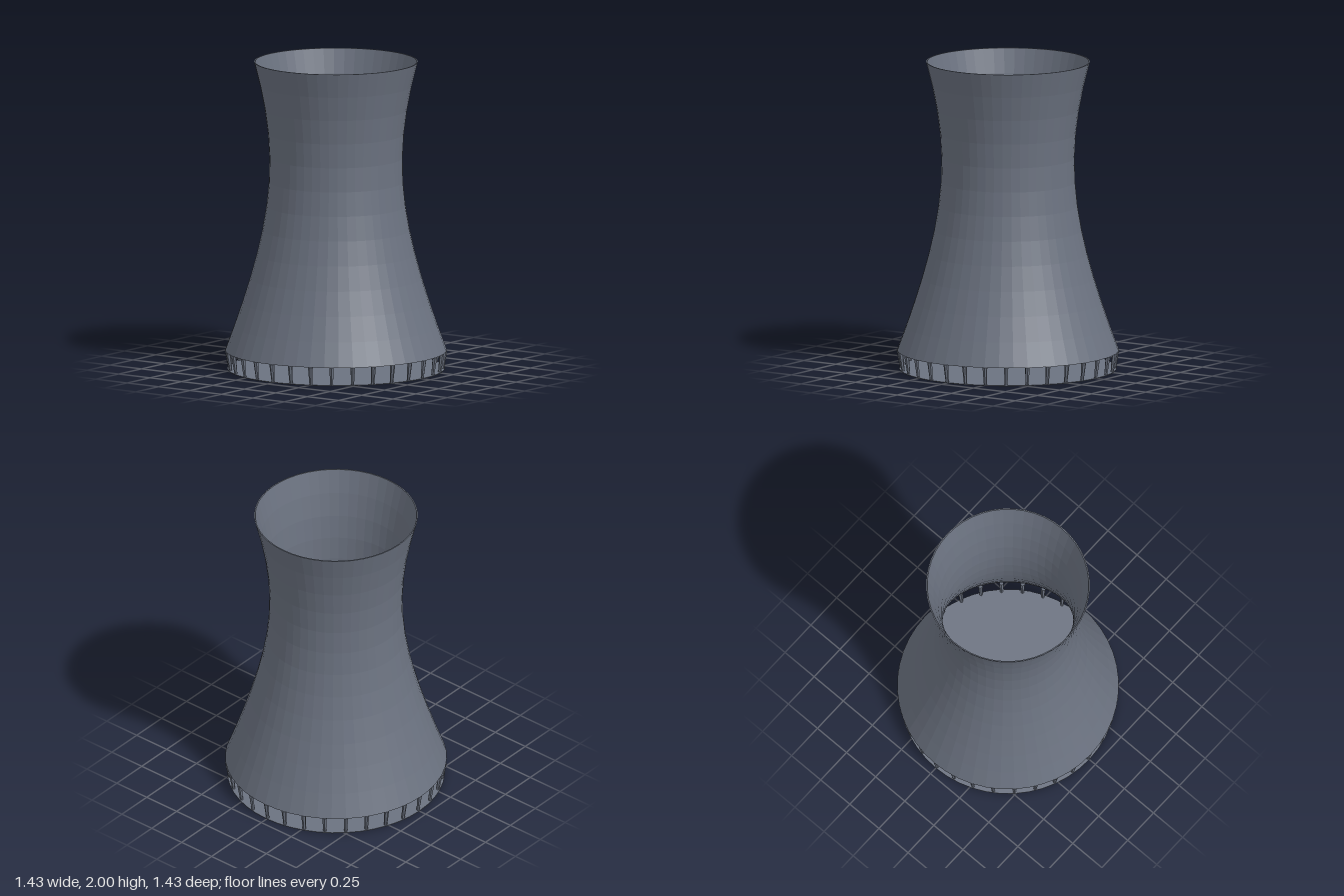
import * as THREE from 'three';

const LEG_COUNT = 32;
const SEGMENTS = 48;
const BANDS = 12;
const SHELL_BASE = 0.12;
const HEIGHT = 2;
const WALL = 0.008;

// Hyperboloid radius at height y, narrowest at the throat
const radiusAt = (y) => 0.428 * Math.hypot(1, (y - 1.34) / 0.917);

export function createModel() {
  const model = new THREE.Group();
  model.name = 'coolingTower';

  const concrete = new THREE.MeshStandardMaterial({ color: 0x6b7280 });
  concrete.name = 'concrete grey';
  concrete.flatShading = true;

  // Thin shell: up the outside, over the rim, down the inside, closed below
  const outer = [];
  const inner = [];
  for (let i = 0; i <= BANDS; i++) {
    const y = SHELL_BASE + ((HEIGHT - SHELL_BASE) * i) / BANDS;
    outer.push(new THREE.Vector2(radiusAt(y), y));
    inner.unshift(new THREE.Vector2(radiusAt(y) - WALL, y));
  }
  const profile = [...outer, ...inner, outer[0].clone()];
  const shell = new THREE.Mesh(new THREE.LatheGeometry(profile, SEGMENTS), concrete);
  shell.name = 'shell';
  model.add(shell);

  // Basin floor
  const floor = new THREE.Mesh(new THREE.CylinderGeometry(0.7, 0.7, 0.004, SEGMENTS), concrete);
  floor.name = 'basinFloor';
  floor.position.y = 0.002;
  model.add(floor);

  // Ring of tapered support legs leaning outward to the shell
  const legs = new THREE.Group();
  legs.name = 'supportLegs';
  const legGeometry = new THREE.CylinderGeometry(0.016, 0.01, 0.121, 6);
  const foot = new THREE.Vector3(0, 0, 0.685);
  const head = new THREE.Vector3(0, SHELL_BASE, 0.7);
  const lean = Math.atan2(head.z - foot.z, head.y - foot.y);
  for (let i = 0; i < LEG_COUNT; i++) {
    const pivot = new THREE.Group();
    pivot.name = 'legPivot';
    pivot.rotation.y = (i / LEG_COUNT) * Math.PI * 2;
    const leg = new THREE.Mesh(legGeometry, concrete);
    leg.name = 'supportLeg';
    leg.position.copy(foot).lerp(head, 0.5);
    leg.rotation.x = lean;
    pivot.add(leg);
    legs.add(pivot);
  }
  model.add(legs);

  return model;
}
